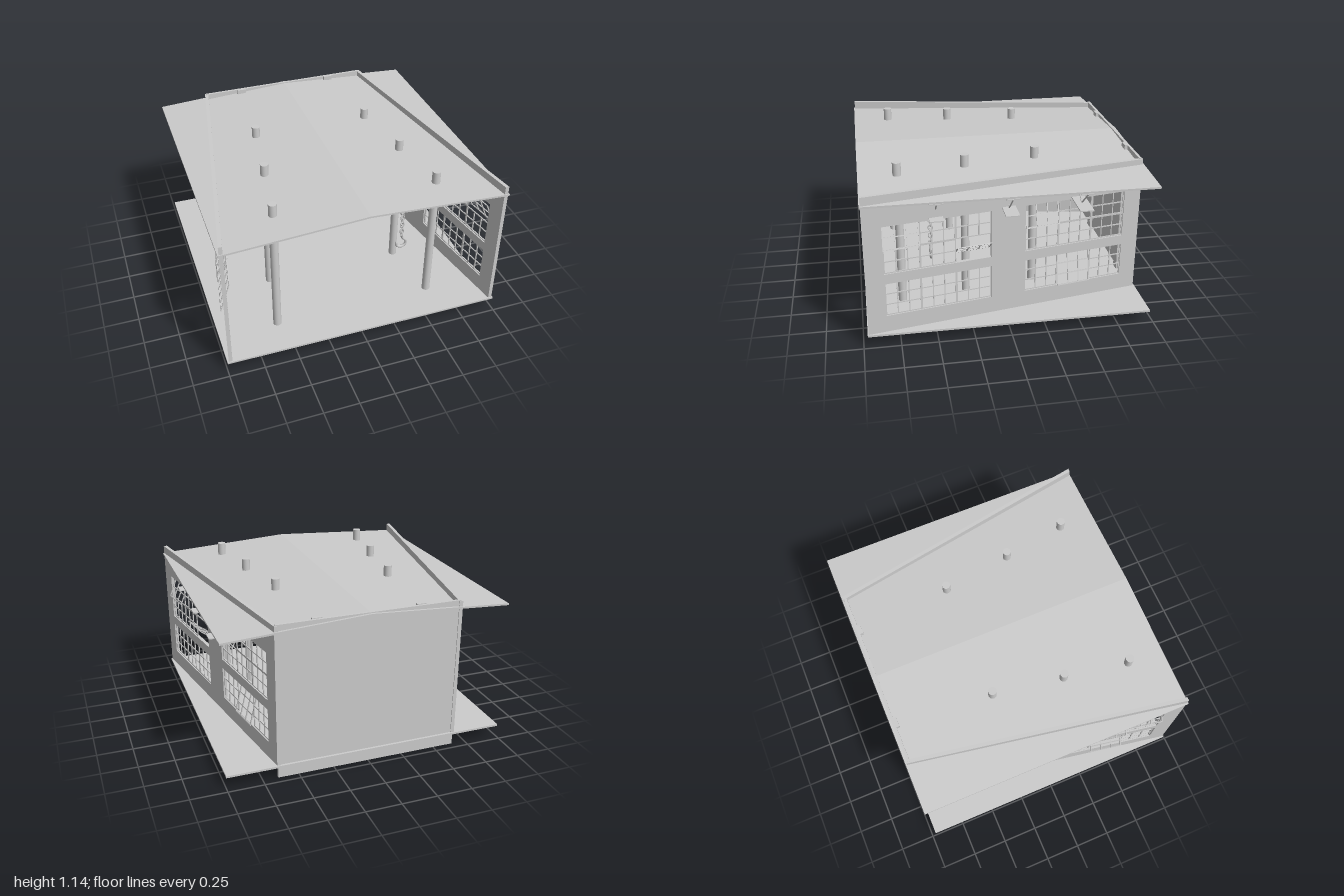
import * as THREE from 'three';
import { mergeGeometries } from 'three/addons/utils/BufferGeometryUtils.js';

const mat = new THREE.MeshStandardMaterial({ color: 0xcccccc, side: THREE.DoubleSide });

function add(parent, name, geo, x = 0, y = 0, z = 0) {
  const m = new THREE.Mesh(geo, mat);
  m.name = name;
  m.position.set(x, y, z);
  parent.add(m);
  return m;
}

// box spanning two corners
function span(x0, x1, y0, y1, z0, z1) {
  return new THREE.BoxGeometry(x1 - x0, y1 - y0, z1 - z0)
    .translate((x0 + x1) / 2, (y0 + y1) / 2, (z0 + z1) / 2);
}

// side walls splay outwards towards the front: x = BASE + SLOPE * z
const BASE = 0.809, SLOPE = 0.176;
const splay = s => new THREE.Matrix4().set(
  1, 0, s * SLOPE, s * BASE, 0, 1, 0, 0, 0, 0, 1, 0, 0, 0, 0, 1);

function rect(Type, x0, x1, y0, y1) {
  const r = new Type();
  r.moveTo(x0, y0); r.lineTo(x1, y0); r.lineTo(x1, y1); r.lineTo(x0, y1);
  r.closePath();
  return r;
}

// rows of sashes: bottom, top, pane rows
const ROWS = [[0.70, 0.87, 2], [0.53, 0.70, 2], [0.22, 0.46, 3]];
const BAYS = [0.84, -0.12];  // front edge of each window bay
const SASH = 0.24;

// opened sashes as 'bay,column,row': tilt in degrees
const OPEN = {
  right: { '0,0,0': 22, '0,1,1': 28, '0,1,2': 18, '1,0,0': 20, '1,0,1': 24, '1,2,0': 22 },
  left: { '0,0,0': 22, '0,2,1': -54, '1,1,2': 14, '1,0,0': 24 },
};

// glazing-bar grid centred on the origin in the yz plane
function sashGeometry(h, rows, tilt) {
  const bars = [], t = 0.0035, w = SASH / 2;
  for (let i = 0; i <= 3; i++) {
    const z = -w + t + (i * (SASH - 2 * t)) / 3;
    bars.push(span(-t, t, -h / 2, h / 2, z - t, z + t));
  }
  for (let j = 0; j <= rows; j++) {
    const y = -h / 2 + t + (j * (h - 2 * t)) / rows;
    bars.push(span(-t, t, y - t, y + t, -w, w));
  }
  return mergeGeometries(bars).rotateZ(tilt);
}

function sideWall(s, side) {
  const g = new THREE.Group();
  g.name = side + 'Wall';
  const shape = rect(THREE.Shape, -0.96, 0.963, 0.09, 1.09);
  for (const z of BAYS) {
    shape.holes.push(rect(THREE.Path, z - 0.72, z, 0.22, 0.46));
    shape.holes.push(rect(THREE.Path, z - 0.72, z, 0.53, 0.87));
  }
  const wall = new THREE.ExtrudeGeometry(shape, { depth: 0.026, bevelEnabled: false })
    .translate(0, 0, -0.013).rotateY(-Math.PI / 2).applyMatrix4(splay(s));
  add(g, 'wallPanel', wall);
  BAYS.forEach((z, bay) => {
    for (let col = 0; col < 3; col++) {
      ROWS.forEach(([y0, y1, n], row) => {
        const tilt = THREE.MathUtils.degToRad(OPEN[side][`${bay},${col},${row}`] || 0);
        const geo = sashGeometry(y1 - y0, n, s * tilt)
          .translate(0, (y0 + y1) / 2, z - SASH * (col + 0.5)).applyMatrix4(splay(s));
        add(g, 'windowSash', geo);
      });
    }
  });
  return g;
}

function rod(a, b, r) {
  const d = b.clone().sub(a);
  const q = new THREE.Quaternion().setFromUnitVectors(new THREE.Vector3(0, 1, 0), d.clone().normalize());
  const m = a.clone().add(b).multiplyScalar(0.5);
  return new THREE.CylinderGeometry(r, r, d.length(), 6).applyQuaternion(q).translate(m.x, m.y, m.z);
}

// roof girder: two flat flanges with zigzag web
function girder(z) {
  const g = new THREE.Group();
  g.name = 'roofGirder';
  g.position.z = z;
  const L = 0.973, step = L / 7;
  add(g, 'topFlange', span(-L, L, 0.996, 1.003, -0.046, 0.046));
  add(g, 'bottomFlange', span(-L, L, 0.878, 0.885, -0.046, 0.046));
  const rods = [];
  for (let i = -7; i < 7; i++) {
    const y = k => (k % 2 ? 1.0 : 0.881);
    rods.push(rod(new THREE.Vector3(i * step, y(i), 0), new THREE.Vector3((i + 1) * step, y(i + 1), 0), 0.005));
  }
  add(g, 'zigzagWeb', mergeGeometries(rods));
  return g;
}

// hanging chain with hook
function hoist(x, z) {
  const g = new THREE.Group();
  g.name = 'hoist';
  g.position.set(x, 0, z);
  const links = [];
  for (let i = 0; i < 14; i++) {
    links.push(new THREE.TorusGeometry(0.015, 0.004, 6, 14).scale(1, 1.3, 1)
      .rotateY(i % 2 ? Math.PI / 2 : 0).translate(0, 0.86 - i * 0.03, 0));
  }
  add(g, 'chain', mergeGeometries(links));
  const pts = [[0, 0.46], [0.012, 0.435], [0.034, 0.41], [0.036, 0.382], [0.018, 0.363],
    [-0.01, 0.36], [-0.034, 0.376], [-0.038, 0.402]].map(p => new THREE.Vector3(p[0], p[1], 0));
  add(g, 'hook', new THREE.TubeGeometry(new THREE.CatmullRomCurve3(pts), 32, 0.01, 8));
  add(g, 'hookTip', new THREE.ConeGeometry(0.01, 0.025, 8), -0.038, 0.412, 0);
  return g;
}

export function createModel() {
  const model = new THREE.Group();
  model.name = 'workshopHall';

  // floor and shallow gabled roof
  add(model, 'floor', span(-1, 1, 0.086, 0.1, -0.97, 0.97));
  const gable = new THREE.Shape();
  [[-1, 1.018], [0, 1.076], [1, 1.018], [1, 1.031], [0, 1.089], [-1, 1.031]]
    .forEach(([x, y], i) => (i ? gable.lineTo(x, y) : gable.moveTo(x, y)));
  gable.closePath();
  add(model, 'roof', new THREE.ExtrudeGeometry(gable, { depth: 1.94, bevelEnabled: false }), 0, 0, -0.97);

  // back wall with two shallow piers
  add(model, 'backWall', span(-0.645, 0.645, 0.003, 1.095, -0.953, -0.935));
  for (const s of [-1, 1]) {
    add(model, 'backPier', span(-0.034, 0.034, 0.003, 1.1, -0.936, -0.913), s * 0.364);
  }

  // splayed side walls
  model.add(sideWall(1, 'left'), sideWall(-1, 'right'));

  // columns
  for (const [x, z] of [[0.426, -0.25], [0.502, 0.25], [0.576, 0.71]]) {
    for (const s of [-1, 1]) {
      add(model, 'column', new THREE.CylinderGeometry(0.029, 0.029, 1.145, 24), s * x, 0.5725, z);
    }
  }

  // girders and hoists
  for (const z of [-0.49, 0, 0.49]) model.add(girder(z));
  model.add(hoist(0.455, 0.49), hoist(-0.42, -0.49));
  return model;
}
